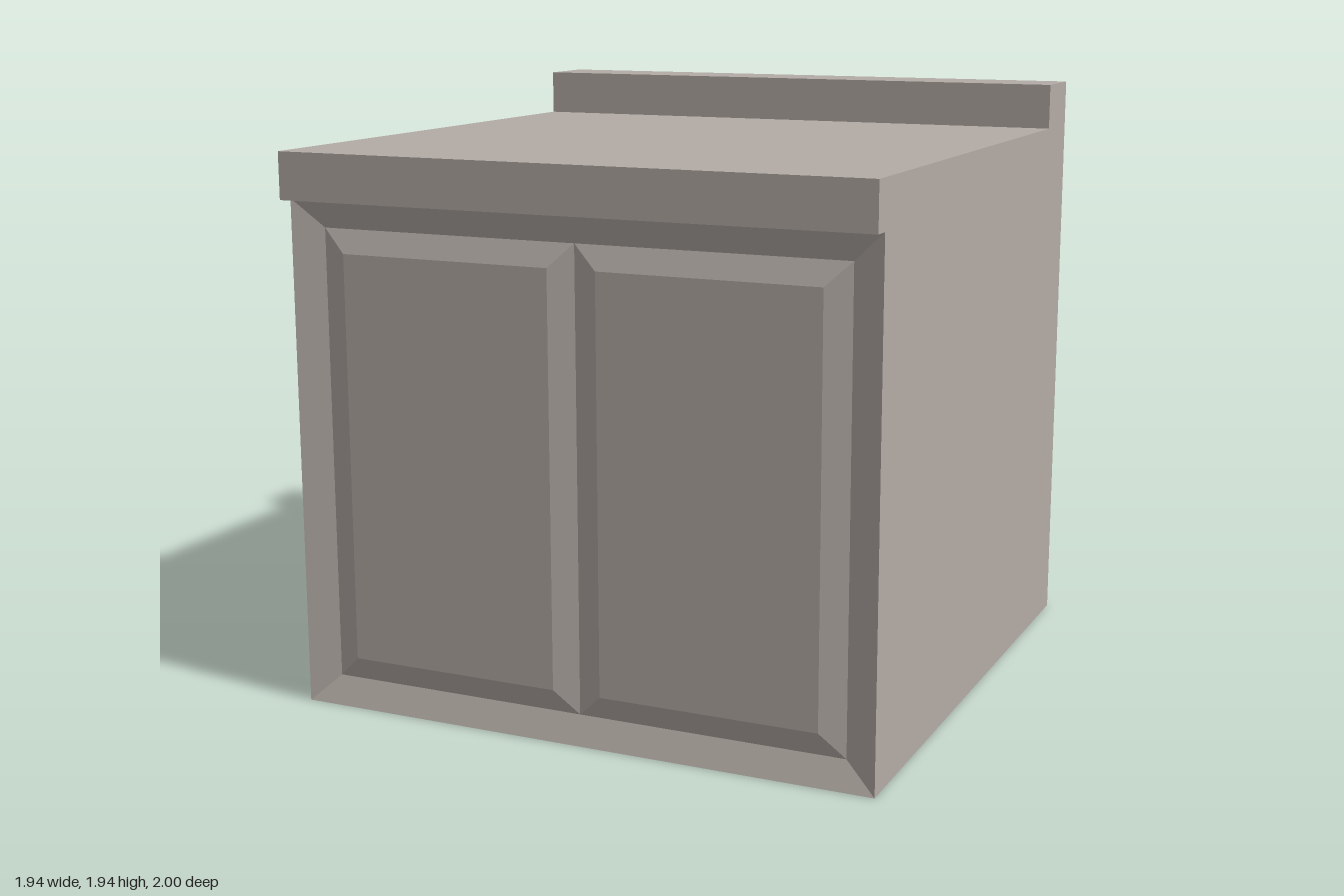
import * as THREE from 'three';

const W = 0.97;          // half width
const FRONT = 0.945;     // z of the front rim
const GROOVE = 0.91;     // z of the groove bottom around the panels
const PANEL = 0.935;     // z of the raised panel faces
const RIM_TOP = 1.64;    // underside of the counter lip

// flat-shaded geometry from quads, corners counter-clockwise seen from outside
function quads(list) {
  const pos = [];
  for (const [a, b, c, d] of list) pos.push(...a, ...b, ...c, ...a, ...c, ...d);
  const g = new THREE.BufferGeometry();
  g.setAttribute('position', new THREE.Float32BufferAttribute(pos, 3));
  g.computeVertexNormals();
  return g;
}

// rectangle facing the front
const rect = (x0, x1, y0, y1, z) => [[x0, y0, z], [x1, y0, z], [x1, y1, z], [x0, y1, z]];

// sloped band between two rectangles
const band = (outer, inner) => outer.map((p, i) => {
  const j = (i + 1) % 4;
  return [p, outer[j], inner[j], inner[i]];
});

export function createModel() {
  const group = new THREE.Group();
  const stone = new THREE.MeshStandardMaterial({ color: 0xb4aca6 });
  stone.name = 'warmGrey';
  const add = (name, geometry) => {
    const mesh = new THREE.Mesh(geometry, stone);
    mesh.name = name;
    group.add(mesh);
  };

  // side profile as (z, y): body, counter lip and back ledge
  const profile = [
    [-1, 0], [FRONT, 0], [FRONT, RIM_TOP], [1, RIM_TOP],
    [1, 1.79], [-0.78, 1.79], [-0.78, 1.94], [-1, 1.94],
  ];

  // end walls
  for (const s of [-1, 1]) {
    const shape = new THREE.Shape(profile.map(([z, y]) => new THREE.Vector2(-s * z, y)));
    const wall = new THREE.ShapeGeometry(shape);
    wall.rotateY(s * Math.PI / 2).translate(s * W, 0, 0);
    add(s > 0 ? 'leftWall' : 'rightWall', wall);
  }

  // bottom, lip, counter top, ledge and back; the front opening stays free
  const strips = [];
  profile.forEach(([z0, y0], i) => {
    if (i === 1) return;
    const [z1, y1] = profile[(i + 1) % profile.length];
    strips.push([[-W, y0, z0], [W, y0, z0], [W, y1, z1], [-W, y1, z1]]);
  });
  add('counterBody', quads(strips));

  // sloped frame around the front
  add('frontFrame', quads(band(
    rect(-W, W, 0, RIM_TOP, FRONT),
    rect(-0.87, 0.87, 0.09, 1.55, GROOVE))));

  // two raised panels meeting in a groove at the middle
  for (const s of [-1, 1]) {
    const outer = s > 0 ? rect(0, 0.87, 0.09, 1.55, GROOVE) : rect(-0.87, 0, 0.09, 1.55, GROOVE);
    const inner = s > 0 ? rect(0.08, 0.79, 0.165, 1.475, PANEL) : rect(-0.79, -0.08, 0.165, 1.475, PANEL);
    add(s > 0 ? 'leftPanel' : 'rightPanel', quads([...band(outer, inner), inner]));
  }
  return group;
}
